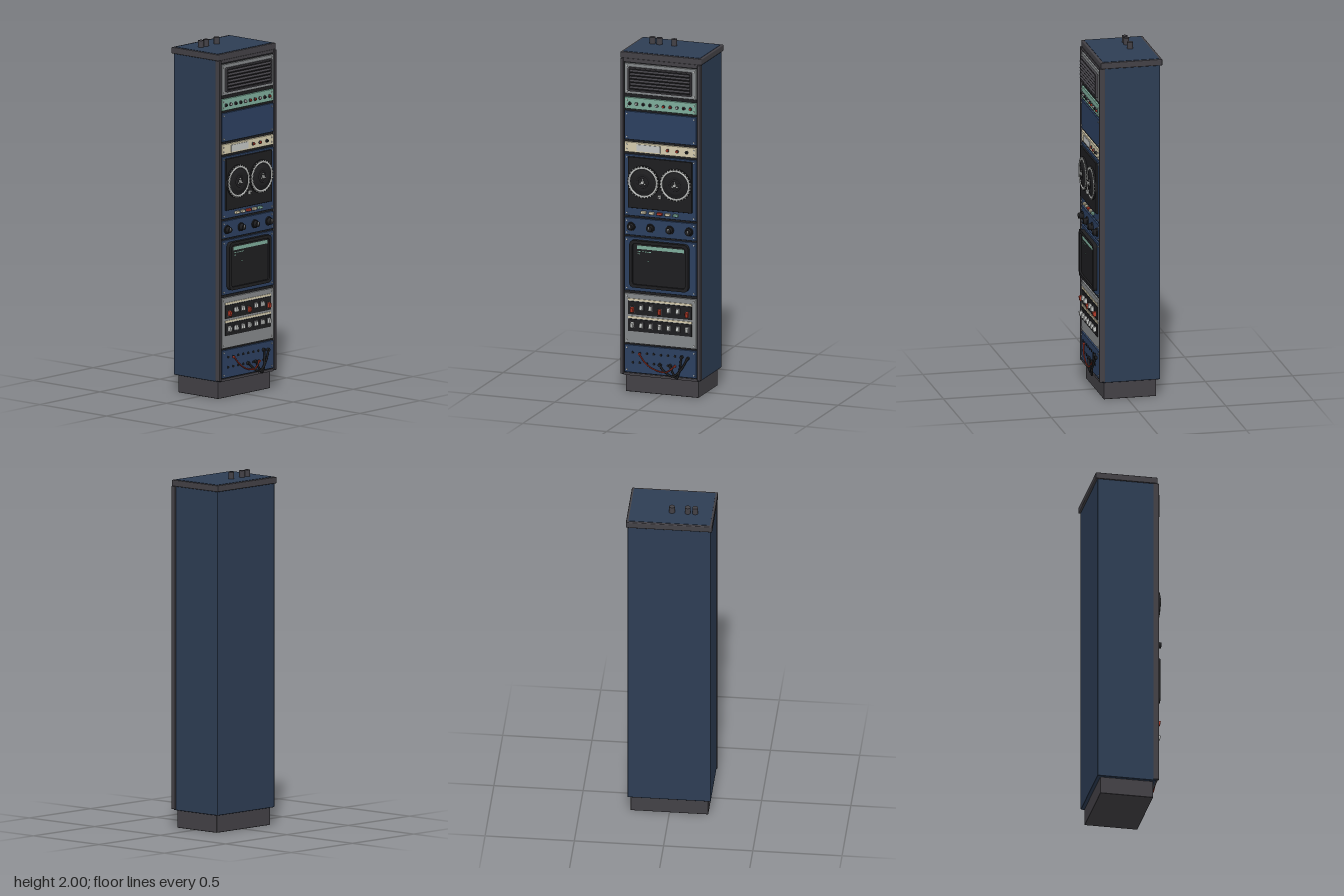
import * as THREE from 'three';
import { RoundedBoxGeometry } from 'three/addons/geometries/RoundedBoxGeometry.js';

const mat = (name, color) => {
  const m = new THREE.MeshStandardMaterial({ color });
  m.name = name;
  return m;
};

export function createModel() {
  const root = new THREE.Group();
  root.name = 'equipmentRack';
  const M = {
    blue: mat('cabinetBlue', 0x2d3d54),
    panel: mat('panelBlue', 0x2c4060),
    frame: mat('charcoalFrame', 0x434146),
    black: mat('black', 0x1e1e20),
    grey: mat('panelGrey', 0x85888a),
    teal: mat('paleTeal', 0x7fae9c),
    cream: mat('cream', 0xd6ccae),
    light: mat('lightMetal', 0xc4c6c4),
    red: mat('red', 0xb43a28),
  };

  const add = (parent, name, geometry, material, x = 0, y = 0, z = 0) => {
    const mesh = new THREE.Mesh(geometry, material);
    mesh.name = name;
    mesh.position.set(x, y, z);
    parent.add(mesh);
    return mesh;
  };
  // Box given by its extents; r > 0 rounds its edges
  const box = (parent, name, m, x0, x1, y0, y1, z0, z1, r = 0) => {
    const s = [x1 - x0, y1 - y0, z1 - z0];
    const g = r ? new RoundedBoxGeometry(...s, 2, r) : new THREE.BoxGeometry(...s);
    return add(parent, name, g, m, (x0 + x1) / 2, (y0 + y1) / 2, (z0 + z1) / 2);
  };
  // Disc or knob facing the front, tapering from r to r2
  const disc = (parent, name, m, x, y, z0, z1, r, r2 = r, seg = 20) => {
    const g = new THREE.CylinderGeometry(r2, r, z1 - z0, seg).rotateX(Math.PI / 2);
    return add(parent, name, g, m, x, y, (z0 + z1) / 2);
  };
  const roundedRect = (C, w, h, r) => {
    const s = new C(), a = w / 2 - r, b = h / 2 - r;
    s.absarc(a, b, r, 0, Math.PI / 2);
    s.absarc(-a, b, r, Math.PI / 2, Math.PI);
    s.absarc(-a, -b, r, Math.PI, Math.PI * 1.5);
    s.absarc(a, -b, r, Math.PI * 1.5, Math.PI * 2);
    s.closePath();
    return s;
  };
  const bezel = (parent, name, m, w, h, border, depth, r, x, y, z) => {
    const s = roundedRect(THREE.Shape, w, h, r);
    s.holes.push(roundedRect(THREE.Path, w - 2 * border, h - 2 * border, r * 0.6));
    const g = new THREE.ExtrudeGeometry(s, { depth, bevelEnabled: false, curveSegments: 5 });
    return add(parent, name, g, m, x, y, z);
  };

  // Cabinet shell
  const cabinet = new THREE.Group();
  cabinet.name = 'cabinet';
  root.add(cabinet);
  box(cabinet, 'plinth', M.frame, -0.218, 0.218, 0, 0.1, -0.168, 0.133, 0.004);
  box(cabinet, 'body', M.blue, -0.233, 0.233, 0.1, 1.926, -0.187, 0.148, 0.004);
  box(cabinet, 'cap', M.frame, -0.242, 0.242, 1.924, 1.96, -0.198, 0.154, 0.005);
  box(cabinet, 'topPlate', M.blue, -0.229, 0.229, 1.956, 1.962, -0.182, 0.14);
  for (const s of [-1, 1]) {
    box(cabinet, 'frontPost', M.frame, s * 0.229 - 0.009, s * 0.229 + 0.009, 0.105, 1.925, 0.13, 0.163, 0.004);
  }
  box(cabinet, 'topRail', M.frame, -0.22, 0.22, 1.908, 1.926, 0.14, 0.156);
  box(cabinet, 'bottomRail', M.frame, -0.22, 0.22, 0.1, 0.114, 0.14, 0.156);
  box(cabinet, 'innerBack', M.black, -0.22, 0.22, 0.114, 1.908, 0.14, 0.15);
  for (const x of [-0.135, -0.093, -0.005]) {
    add(cabinet, 'cableGland', new THREE.CylinderGeometry(0.016, 0.016, 0.042, 20), M.frame, x, 1.979, -0.07);
  }

  // Rack unit: a face plate with four corner screws
  const F = 0.16;
  const unit = (name, m, y0, y1) => {
    const g = new THREE.Group();
    g.name = name;
    root.add(g);
    box(g, 'facePlate', m, -0.215, 0.215, y0, y1, 0.145, F, 0.003);
    for (const x of [-0.2, 0.2]) for (const y of [y0 + 0.016, y1 - 0.016]) {
      disc(g, 'screw', M.light, x, y, F - 0.002, F + 0.003, 0.0048, 0.004, 10);
    }
    return g;
  };

  // Ventilation grille
  const vent = unit('ventPanel', M.grey, 1.724, 1.9);
  box(vent, 'ventRecess', M.black, -0.187, 0.187, 1.745, 1.878, F - 0.002, F + 0.004);
  bezel(vent, 'ventFrame', M.frame, 0.38, 0.138, 0.008, 0.014, 0.008, 0, 1.8115, F);
  for (let i = 0; i < 6; i++) {
    const slat = box(vent, 'slat', M.frame, -0.178, 0.178, -0.003, 0.003, 0.16, 0.178);
    slat.position.y = 1.764 + i * 0.019;
    slat.rotation.x = 0.45;
  }

  // Indicator strip
  const lamps = unit('indicatorPanel', M.teal, 1.637, 1.704);
  const lampColours = [M.black, M.light, M.black, M.black, M.light, M.red, M.red, M.light, M.black, M.red];
  lampColours.forEach((m, i) => {
    const x = -0.183 + i * 0.0403;
    disc(lamps, 'lampRing', M.frame, x, 1.668, F, F + 0.005, 0.01);
    disc(lamps, 'lamp', m, x, 1.668, F + 0.004, F + 0.012, 0.007, 0.005, 12);
  });

  unit('blankPanel', M.panel, 1.46, 1.624);

  // Meter strip
  const meter = unit('meterPanel', M.cream, 1.388, 1.446);
  box(meter, 'meterWindow', M.light, -0.142, 0, 1.398, 1.436, F, F + 0.004);
  [M.red, M.red, M.black].forEach((m, i) => {
    const x = 0.043 + i * 0.057;
    disc(meter, 'lampRing', M.frame, x, 1.417, F, F + 0.005, 0.01);
    disc(meter, 'lamp', m, x, 1.417, F + 0.004, F + 0.012, 0.008, 0.006, 12);
  });

  // Tape deck with two reels
  const deck = unit('tapeDeck', M.panel, 1.022, 1.375);
  box(deck, 'deckPlate', M.black, -0.191, 0.191, 1.07, 1.364, F - 0.002, 0.171, 0.003);
  for (const x of [-0.096, 0.096]) {
    const reel = new THREE.Group();
    reel.name = 'reel';
    reel.position.set(x, 1.226, 0);
    deck.add(reel);
    disc(reel, 'reelFlange', M.black, 0, 0, 0.17, 0.18, 0.094, 0.094, 40);
    add(reel, 'reelRim', new THREE.TorusGeometry(0.082, 0.006, 8, 40), M.light, 0, 0, 0.179);
    for (let i = 0; i < 30; i++) {
      const a = i / 30 * Math.PI * 2;
      const tooth = add(reel, 'rimTooth', new THREE.BoxGeometry(0.01, 0.007, 0.006), M.light,
        Math.cos(a) * 0.088, Math.sin(a) * 0.088, 0.179);
      tooth.rotation.z = a;
    }
    disc(reel, 'tapePack', M.black, 0, 0, 0.178, 0.187, 0.076, 0.05, 36);
    add(reel, 'innerRing', new THREE.TorusGeometry(0.03, 0.003, 6, 28), M.frame, 0, 0, 0.187);
    disc(reel, 'hub', M.light, 0, 0, 0.185, 0.195, 0.01, 0.009);
    for (let i = 0; i < 3; i++) {
      const a = Math.PI / 2 + i * Math.PI * 2 / 3;
      disc(reel, 'hubLug', M.light, Math.cos(a) * 0.016, Math.sin(a) * 0.016, 0.185, 0.19, 0.004, 0.004, 8);
    }
  }
  box(deck, 'tapeHead', M.light, -0.01, 0.01, 1.137, 1.158, 0.17, 0.184, 0.003);
  disc(deck, 'headPin', M.frame, 0, 1.147, 0.183, 0.187, 0.005);
  [M.cream, M.cream, M.red, M.cream, M.teal].forEach((m, i) => {
    const x = -0.098 + i * 0.048;
    box(deck, 'deckButton', m, x - 0.015, x + 0.015, 1.041, 1.056, F, F + 0.016, 0.003);
  });

  // Rotary controls
  const dials = unit('dialPanel', M.panel, 0.91, 1.01);
  [-0.174, -0.059, 0.056, 0.171].forEach((x, i) => {
    disc(dials, 'dialSkirt', M.black, x, 0.96, F, F + 0.007, 0.025, 0.024, 24);
    disc(dials, 'dialKnob', M.black, x, 0.96, F + 0.006, 0.186, 0.019, 0.016, 24);
    const mark = box(dials, 'dialPointer', M.light, -0.002, 0.002, -0.007, 0.007, 0.185, 0.188);
    mark.position.x = x;
    mark.position.y = 0.966;
    mark.rotation.z = [0.25, 0, -0.1, 0.1][i];
  });

  // Monitor
  const monitor = unit('monitorPanel', M.panel, 0.59, 0.9);
  bezel(monitor, 'screenBezel', M.black, 0.35, 0.272, 0.018, 0.023, 0.025, -0.002, 0.751, F);
  box(monitor, 'screen', M.black, -0.165, 0.161, 0.625, 0.877, F - 0.002, 0.172);
  box(monitor, 'screenHeader', M.teal, -0.135, 0.147, 0.838, 0.858, 0.171, 0.174);
  [[-0.13, 0.018, 0.822], [-0.105, 0.012, 0.822], [-0.085, 0.035, 0.822], [-0.13, 0.014, 0.808], [-0.07, 0.008, 0.768]]
    .forEach(([x, w, y]) => box(monitor, 'screenMark', M.teal, x, x + w, y, y + 0.004, 0.171, 0.174));

  // Two banks of switches
  const switches = unit('switchPanel', M.grey, 0.287, 0.574);
  const bank = (y0, y1, stripY) => {
    box(switches, 'switchStrip', M.black, -0.191, 0.189, y0, y1, F - 0.002, F + 0.005);
    box(switches, 'labelStrip', M.cream, -0.191, 0.189, stripY, stripY + 0.011, F, F + 0.004);
  };
  bank(0.455, 0.53, 0.534);
  bank(0.358, 0.428, 0.432);
  for (let i = 0; i < 7; i++) {
    const x = -0.164 + i * 0.0545;
    const down = i % 3 === 0;
    [[down ? 0.484 : 0.499, down ? M.red : M.light], [0.396, M.light]].forEach(([y, m]) => {
      box(switches, 'switchSocket', M.frame, x - 0.013, x + 0.013, y - 0.018, y + 0.018, F, F + 0.008);
      const key = box(switches, 'switchKey', m, x - 0.009, x + 0.009, y - 0.014, y + 0.014, F, F + 0.024, 0.003);
      key.rotation.x = down ? 0.2 : -0.2;
    });
  }

  // Patch bay with hanging leads
  const patch = unit('patchPanel', M.panel, 0.118, 0.277);
  for (const y of [0.235, 0.178]) for (let i = 0; i < 8; i++) {
    const x = -0.165 + i * 0.042;
    disc(patch, 'jack', M.black, x, y, F, F + 0.004, 0.007, 0.007, 12);
  }
  const lead = (m, r, pts) => {
    const path = new THREE.CatmullRomCurve3(pts.map(p => new THREE.Vector3(...p)));
    add(patch, 'patchLead', new THREE.TubeGeometry(path, 28, r, 8), m);
    for (const p of [pts[0], pts[pts.length - 1]]) {
      disc(patch, 'plug', m, p[0], p[1], F, p[2] + 0.006, r * 1.7, r * 1.4, 10);
    }
  };
  lead(M.red, 0.004, [[-0.123, 0.23, 0.168], [-0.085, 0.185, 0.176], [-0.03, 0.152, 0.178], [0.04, 0.143, 0.178], [0.088, 0.178, 0.168]]);
  lead(M.black, 0.006, [[-0.003, 0.178, 0.168], [0.03, 0.145, 0.176], [0.08, 0.122, 0.176], [0.125, 0.16, 0.177], [0.165, 0.23, 0.168]]);
  lead(M.black, 0.006, [[0.06, 0.178, 0.168], [0.085, 0.13, 0.174], [0.102, 0.112, 0.174], [0.118, 0.15, 0.177], [0.128, 0.235, 0.168]]);
  return root;
}
